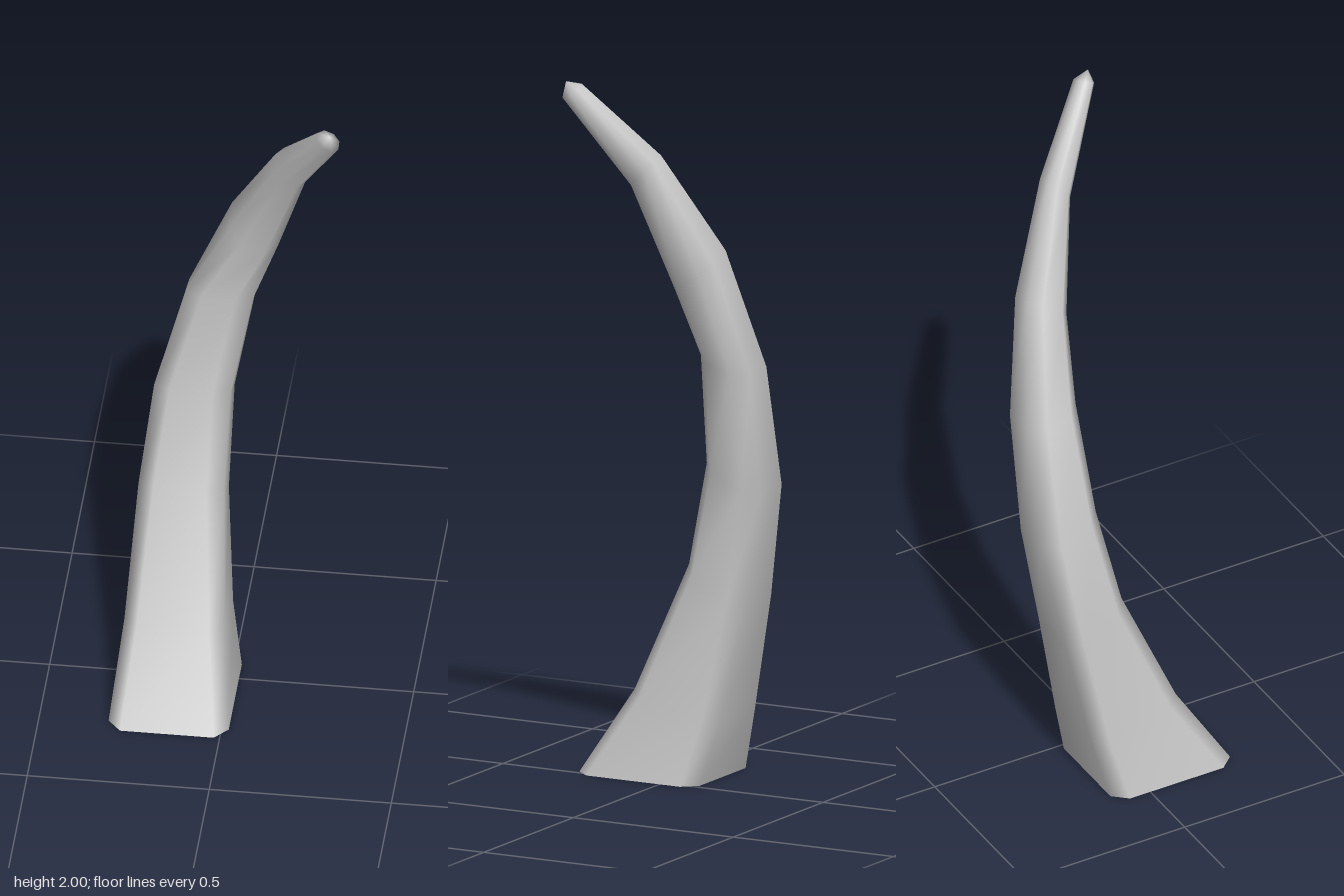
import * as THREE from 'three';

// Cross-sections from base to tip:
// [x min, x max, z back, z front, y centre, y tilt to +x, y tilt to +z, corner cut]
const RINGS = [
  [-0.31, 0.02, -0.105, 0.27, 0.0, 0, 0, 0.11],
  [-0.285, -0.01, -0.15, 0.115, 0.21, -0.005, 0.035, 0.14],
  [-0.265, -0.03, -0.215, -0.04, 0.555, -0.005, 0.05, 0.19],
  [-0.23, -0.02, -0.268, -0.1, 0.86, -0.005, 0.035, 0.22],
  [-0.145, 0.04, -0.268, -0.115, 1.19, -0.005, 0.02, 0.25],
  [-0.02, 0.113, -0.203, -0.08, 1.46, -0.025, -0.04, 0.25],
  [0.113, 0.2, -0.07, 0.0, 1.745, -0.012, -0.035, 0.25],
  [0.25, 0.31, 0.1, 0.15, 1.972, -0.012, -0.012, 0.28],
];
const TIP = [0.287, 2.0, 0.142];

// Square with cut corners, counter-clockwise seen from above, as [u, v] in -1..1
function cutSquare(cut) {
  const k = 1 - 2 * cut;
  return [[1, k], [1, -k], [k, -1], [-k, -1], [-1, -k], [-1, k], [-k, 1], [k, 1]];
}

function hornGeometry() {
  const positions = [];
  const index = [];
  for (const [x0, x1, z0, z1, y, tiltX, tiltZ, cut] of RINGS) {
    for (const [u, v] of cutSquare(cut)) {
      positions.push(
        (x0 + x1) / 2 + (u * (x1 - x0)) / 2,
        y + tiltX * u + tiltZ * v,
        (z0 + z1) / 2 + (v * (z1 - z0)) / 2
      );
    }
  }
  // Skin between neighbouring sections
  const n = 8;
  const last = (RINGS.length - 1) * n;
  for (let r = 0; r < last; r += n) {
    for (let i = 0; i < n; i++) {
      const a = r + i;
      const b = r + ((i + 1) % n);
      index.push(a, b, b + n, a, b + n, a + n);
    }
  }
  // Closed tip
  positions.push(...TIP);
  for (let i = 0; i < n; i++) index.push(last + i, last + ((i + 1) % n), last + n);

  const geometry = new THREE.BufferGeometry();
  geometry.setAttribute('position', new THREE.Float32BufferAttribute(positions, 3));
  geometry.setIndex(index);
  geometry.computeVertexNormals();
  return geometry;
}

export function createModel() {
  const group = new THREE.Group();
  group.name = 'curvedHorn';
  // The base is open, so the inside shows too
  const material = new THREE.MeshStandardMaterial({ color: 0xcccccc, side: THREE.DoubleSide });
  material.name = 'light grey';
  const horn = new THREE.Mesh(hornGeometry(), material);
  horn.name = 'horn';
  group.add(horn);
  return group;
}
